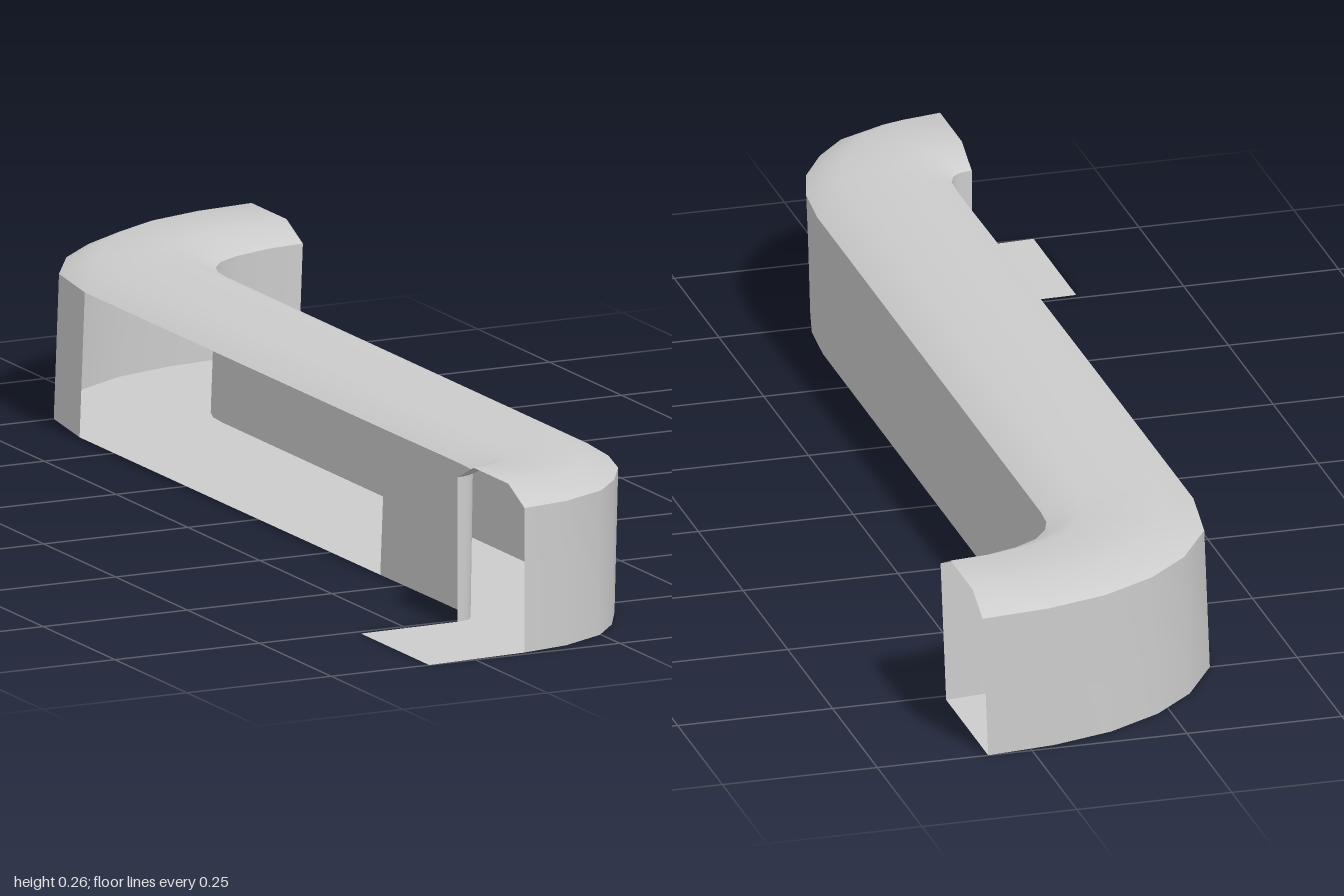
import * as THREE from 'three';

const WALL = 0.23, TOP = 0.257, INSET = 0.24;

// Stations along the S-shaped run, back to front: left x, left z, right x, right z
const stations = [
  [0.33, -1.0, 0.33, -0.765], [0.22, -0.988, 0.27, -0.758], [0.12, -0.96, 0.2, -0.735],
  [0.03, -0.91, 0.16, -0.71], [-0.04, -0.845, 0.137, -0.68], [-0.1, -0.75, 0.126, -0.65],
  [-0.12, -0.62, 0.123, -0.61],
  [-0.119, -0.1, 0.123, -0.1], [-0.117, 0.42, 0.123, 0.42],
  [-0.115, 0.62, 0.123, 0.64], [-0.115, 0.68, 0.115, 0.73], [-0.117, 0.72, 0.092, 0.81],
  [-0.125, 0.74, 0.05, 0.88], [-0.135, 0.75, 0, 0.935], [-0.148, 0.755, -0.08, 0.975],
  [-0.16, 0.757, -0.16, 0.99],
];
const plateEnd = [-0.33, 0.762, -0.33, 1.0];

const material = new THREE.MeshStandardMaterial({ color: 0xcccccc, side: THREE.DoubleSide });

// Point at fraction t from the left edge to the right edge; the base leans slightly to -x
function point([lx, lz, rx, rz], t, y) {
  const lean = 0.009 * THREE.MathUtils.clamp((0.99 - rz) * 4, 0, 1) * Math.max(0, 1 - y / WALL);
  return [lx + (rx - lx) * t - lean, y, lz + (rz - lz) * t];
}

// Surface through the given [t, y] section at every station
function sweep(name, run, section) {
  const positions = [], index = [], n = section.length;
  run.forEach((s, i) => {
    section.forEach(([t, y], j) => {
      positions.push(...point(s, t, y));
      if (i < run.length - 1 && j < n - 1) {
        const a = i * n + j, b = a + n;
        index.push(a, b, a + 1, b, b + 1, a + 1);
      }
    });
  });
  const geometry = new THREE.BufferGeometry();
  geometry.setAttribute('position', new THREE.Float32BufferAttribute(positions, 3));
  geometry.setIndex(index);
  geometry.computeVertexNormals();
  const mesh = new THREE.Mesh(geometry, material);
  mesh.name = name;
  return mesh;
}

export function createModel() {
  const group = new THREE.Group();
  group.name = 'curvedChannel';
  const left = [[0, 0], [0, WALL]];
  group.add(
    // floor runs on past the walls at the front end
    sweep('floor', [...stations, plateEnd], [[1, 0], [0, 0]]),
    sweep('rightWall', stations, [[1, WALL], [1, 0]]),
    // the left wall is open along most of the straight stretch
    sweep('leftWallBack', stations.slice(0, 7), left),
    sweep('leftWallFront', stations.slice(8), left),
    // bevelled roof
    sweep('roof', stations, [[0, WALL], [INSET, TOP], [1 - INSET, TOP], [1, WALL]]),
  );
  return group;
}
